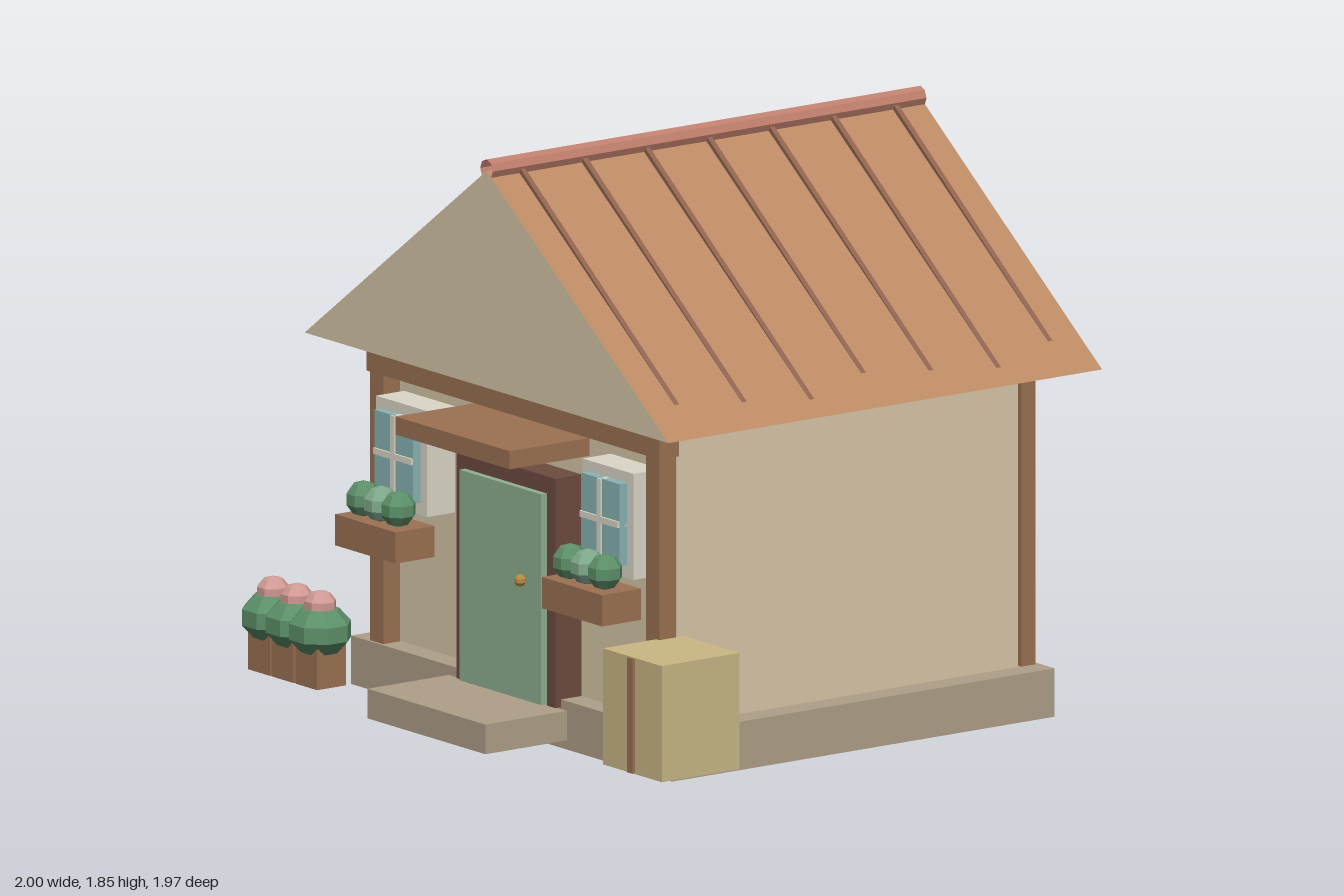
import * as THREE from 'three';

const C = {
  wall: 0xd8c8a8, stone: 0xaf9f88, wood: 0x9c7252, roof: 0xba8a62, ridge: 0xc07f6c, rib: 0x8f6450,
  frame: 0x6e4c40, door: 0x8fb090, glass: 0x88b4b4, trim: 0xdcd8c8, brass: 0xb98a3c,
  leaf: 0x5c9068, paleLeaf: 0x7fa98a, flower: 0xd29a94, crate: 0xcab884,
};
const MID = -0.045; // house centre line
const EAVE = 1.12, APEX = 1.815, HALF = 0.948, ZF = 0.71, ZB = -0.98;

export function createModel() {
  const root = new THREE.Group();
  root.name = 'cottage';
  const mats = {};
  const mat = (color, thin) => {
    const key = color + (thin ? 'd' : '');
    return (mats[key] ??= new THREE.MeshStandardMaterial({
      color, flatShading: true, side: thin ? THREE.DoubleSide : THREE.FrontSide,
    }));
  };
  const add = (name, geo, color, parent = root, thin = false) => {
    const m = new THREE.Mesh(geo, mat(color, thin));
    m.name = name;
    parent.add(m);
    return m;
  };
  // Box given by its extents on each axis
  const box = (name, color, [x0, x1], [y0, y1], [z0, z1], parent) => {
    const m = add(name, new THREE.BoxGeometry(x1 - x0, y1 - y0, z1 - z0), color, parent);
    m.position.set((x0 + x1) / 2, (y0 + y1) / 2, (z0 + z1) / 2);
    return m;
  };
  const ball = (name, color, r, x, y, z, parent, squash = 1) => {
    const m = add(name, new THREE.SphereGeometry(r, 8, 5), color, parent);
    m.position.set(x, y, z);
    m.rotation.y = Math.PI / 8;
    m.scale.y = squash;
    return m;
  };
  const group = (name) => {
    const g = new THREE.Group();
    g.name = name;
    root.add(g);
    return g;
  };

  // Foundation, walls and timber
  box('foundation', C.stone, [-0.885, 0.79], [0, 0.155], [-0.88, 0.61]);
  box('walls', C.wall, [-0.795, 0.705], [0.155, 1.115], [-0.8, 0.53]);
  for (const x of [-0.8, 0.64]) {
    box('frontPost', C.wood, [x, x + 0.07], [0.155, 1.1], [0.535, 0.6]);
    box('backPost', C.wood, [x, x + 0.07], [0.155, 1.1], [-0.865, -0.81]);
  }
  box('frontBeam', C.wood, [-0.81, 0.718], [1.018, 1.086], [0.53, 0.606]);

  // Roof slopes, open underneath, with a gable at each end
  const roof = group('roof');
  for (const s of [-1, 1]) {
    const xe = MID + s * HALF;
    const slope = new THREE.BufferGeometry();
    slope.setAttribute('position', new THREE.Float32BufferAttribute([
      MID, APEX, ZF, xe, EAVE, ZF, xe, EAVE, ZB, MID, APEX, ZB,
    ], 3));
    slope.setIndex(s > 0 ? [0, 1, 2, 0, 2, 3] : [0, 2, 1, 0, 3, 2]);
    slope.computeVertexNormals();
    add('roofSlope', slope, C.roof, roof, true);

    // Ribs stand proud at the ridge and sink into the slope lower down
    const top = new THREE.Vector2(MID, APEX + 0.006);
    for (let i = 0; i < 7; i++) {
      const t = 0.9 + 0.03 * (i % 3);
      const end = new THREE.Vector2(MID + s * HALF * t, APEX - (APEX - EAVE) * t - 0.013);
      const d = end.clone().sub(top);
      const rib = add('roofRib', new THREE.BoxGeometry(d.length(), 0.02, 0.018), C.rib, roof);
      rib.position.set((top.x + end.x) / 2, (top.y + end.y) / 2, 0.59 - i * 0.2425);
      rib.rotation.z = Math.atan2(d.y, d.x);
    }
  }
  const tri = new THREE.Shape([
    new THREE.Vector2(MID - HALF, EAVE), new THREE.Vector2(MID + HALF, EAVE), new THREE.Vector2(MID, APEX),
  ]);
  for (const [name, z] of [['frontGable', ZF], ['backGable', ZB]]) {
    add(name, new THREE.ShapeGeometry(tri), C.wall, roof, true).position.z = z;
  }
  const ridge = add('ridgeCap',
    new THREE.CylinderGeometry(0.033, 0.033, ZF - ZB, 8, 1, true), C.ridge, roof, true);
  ridge.rotation.x = Math.PI / 2;
  ridge.position.set(MID, 1.819, (ZF + ZB) / 2);

  // Door with frame, knob, awning and step
  const door = group('door');
  box('doorFrameLeft', C.frame, [0.165, 0.21], [0.13, 0.865], [0.53, 0.632], door);
  box('doorFrameRight', C.frame, [-0.305, -0.26], [0.13, 0.865], [0.53, 0.632], door);
  box('doorFrameTop', C.frame, [-0.26, 0.165], [0.81, 0.865], [0.53, 0.632], door);
  box('doorLeaf', C.door, [-0.26, 0.165], [0.135, 0.81], [0.53, 0.655], door);
  ball('doorKnob', C.brass, 0.02, 0.075, 0.52, 0.668, door);
  box('awning', C.wood, [-0.345, 0.25], [0.932, 0.99], [0.53, 0.84]);
  box('doorStep', C.stone, [-0.355, 0.26], [0.035, 0.13], [0.625, 0.942]);

  // Windows with flower boxes
  for (const x of [-0.582, 0.495]) {
    const win = group('window');
    box('windowFrame', C.trim, [x - 0.133, x + 0.133], [0.62, 0.96], [0.53, 0.64], win);
    box('windowGlass', C.glass, [x - 0.1, x + 0.1], [0.66, 0.925], [0.64, 0.67], win);
    box('verticalBar', C.trim, [x - 0.01, x + 0.01], [0.66, 0.925], [0.64, 0.677], win);
    box('crossBar', C.trim, [x - 0.1, x + 0.1], [0.785, 0.805], [0.64, 0.677], win);
    box('windowBox', C.wood, [x - 0.158, x + 0.156], [0.495, 0.595], [0.628, 0.78], win);
    for (const i of [-1, 0, 1]) {
      ball('windowPlant', i ? C.leaf : C.paleLeaf, 0.058, x + i * 0.091, 0.65, 0.72, win);
    }
  }

  // Row of potted flowers
  for (let i = 0; i < 3; i++) {
    const x = -0.907 + i * 0.123;
    const pot = group('pottedFlower');
    box('pot', C.wood, [x - 0.057, x + 0.057], [0.08, 0.22], [0.84, 0.952], pot);
    ball('bush', C.leaf, 0.105, x, 0.255, 0.898, pot, 0.8);
    ball('blossom', C.flower, 0.054, x, 0.335, 0.898, pot, 0.9);
  }

  // Crate with a strap
  box('crate', C.crate, [0.693, 1.0], [0.065, 0.437], [0.505, 0.808]);
  box('crateStrap', C.wood, [0.832, 0.86], [0.067, 0.435], [0.8, 0.818]);

  return root;
}
